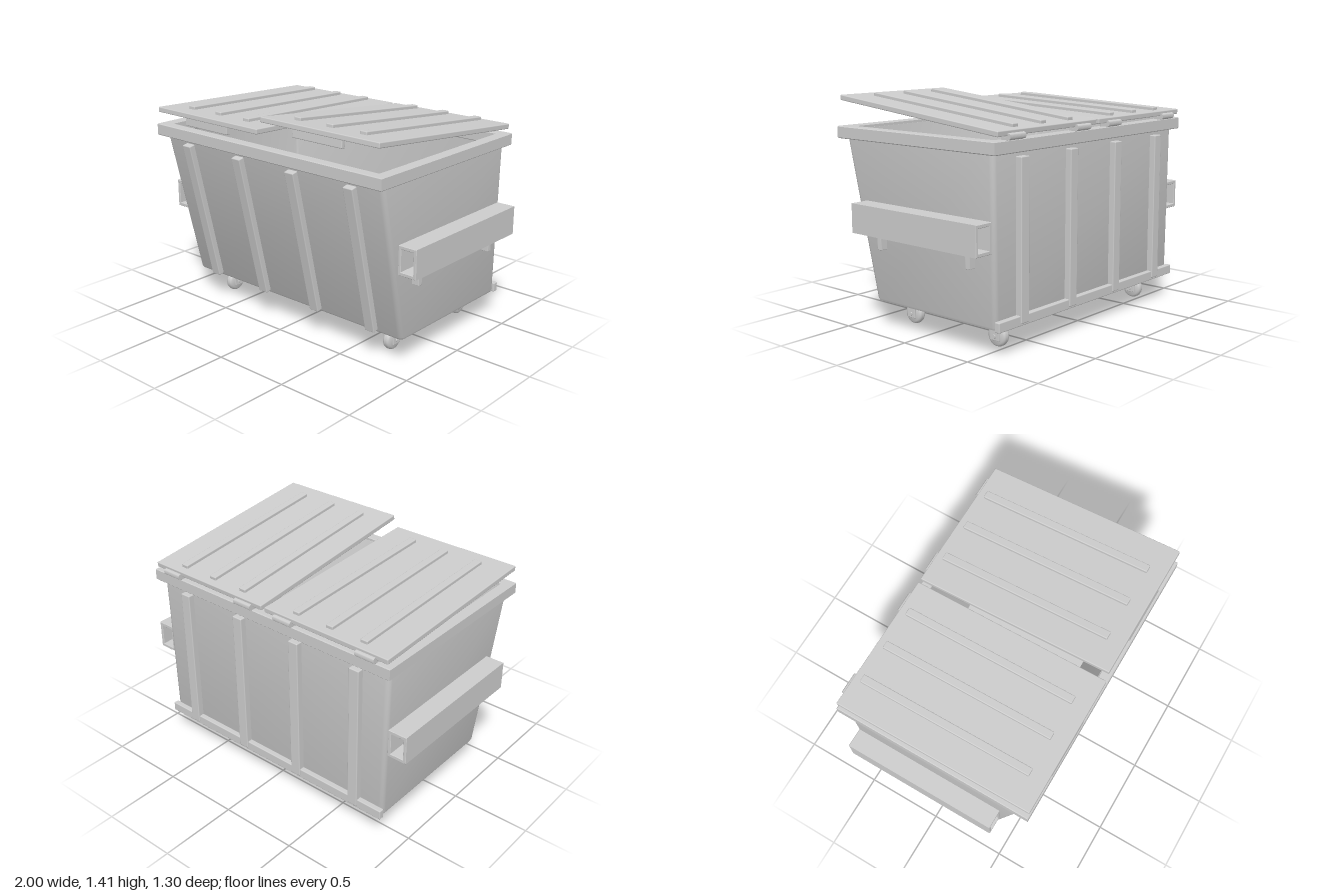
import * as THREE from 'three';
import { toCreasedNormals } from 'three/addons/utils/BufferGeometryUtils.js';
import { RoundedBoxGeometry } from 'three/addons/geometries/RoundedBoxGeometry.js';

const steel = new THREE.MeshStandardMaterial({ color: 0xcccccc });
steel.name = 'grey steel';

function add(parent, name, geometry, x = 0, y = 0, z = 0) {
  const mesh = new THREE.Mesh(geometry, steel);
  mesh.name = name;
  mesh.position.set(x, y, z);
  parent.add(mesh);
  return mesh;
}

const softBox = (w, h, d, r = 0.006) => new RoundedBoxGeometry(w, h, d, 2, r);

// Cylinder lying along x
const barrel = (r, length, sides = 24) =>
  toCreasedNormals(new THREE.CylinderGeometry(r, r, length, sides).rotateZ(Math.PI / 2), 0.6);

// Rounded rectangle ring at height y; half width hx, from z = back to z = front
function ring(y, hx, back, front, r) {
  const points = [];
  const corners = [[1, front], [-1, front], [-1, back], [1, back]];
  corners.forEach(([sx, z], c) => {
    const cx = sx * (hx - r);
    const cz = z + (c < 2 ? -r : r);
    for (let i = 0; i <= 4; i++) {
      const a = (c + i / 4) * Math.PI / 2;
      points.push(new THREE.Vector3(cx + r * Math.cos(a), y, cz + r * Math.sin(a)));
    }
  });
  return points;
}

// Skin between successive rings, closed at both ends by a central point
function loft(rings) {
  const centre = (points) => {
    const box = new THREE.Box3().setFromPoints(points);
    return points.map(() => box.getCenter(new THREE.Vector3()));
  };
  const all = [centre(rings[0]), ...rings, centre(rings[rings.length - 1])];
  const n = rings[0].length;
  const vertices = [];
  for (let i = 0; i < all.length - 1; i++) {
    for (let j = 0; j < n; j++) {
      const k = (j + 1) % n;
      const [a, b, c, d] = [all[i][j], all[i + 1][j], all[i][k], all[i + 1][k]];
      if (i > 0) vertices.push(a, b, c);
      if (i < all.length - 2) vertices.push(b, d, c);
    }
  }
  return toCreasedNormals(new THREE.BufferGeometry().setFromPoints(vertices), 0.7);
}

// Rectangular frame in the xy plane, extruded along z
function frame(w, h, holeW, holeH, depth, bevel) {
  const rect = (shape, a, b) => shape.moveTo(-a, -b).lineTo(a, -b).lineTo(a, b).lineTo(-a, b).closePath();
  const shape = rect(new THREE.Shape(), w / 2 - bevel, h / 2 - bevel);
  shape.holes.push(rect(new THREE.Path(), holeW / 2 + bevel, holeH / 2 + bevel));
  const g = new THREE.ExtrudeGeometry(shape, {
    depth: depth - 2 * bevel, bevelEnabled: true, bevelThickness: bevel, bevelSize: bevel, bevelSegments: 1,
  });
  return g.translate(0, 0, bevel - depth / 2);
}

function makeCaster() {
  const caster = new THREE.Group();
  caster.name = 'caster';
  add(caster, 'mountingPlate', softBox(0.14, 0.014, 0.14, 0.003), 0, 0.153, 0);
  add(caster, 'swivel', new THREE.CylinderGeometry(0.035, 0.035, 0.016, 24), 0, 0.141, 0);
  add(caster, 'forkTop', softBox(0.078, 0.012, 0.066, 0.003), 0, 0.132, 0);
  for (const s of [-1, 1]) add(caster, 'forkArm', softBox(0.01, 0.09, 0.066, 0.003), s * 0.034, 0.091, 0);
  const tyre = [[0, -0.024], [0.052, -0.024], [0.062, -0.018], [0.066, -0.008],
    [0.066, 0.008], [0.062, 0.018], [0.052, 0.024], [0, 0.024]].map(([x, y]) => new THREE.Vector2(x, y));
  const wheel = new THREE.LatheGeometry(tyre, 32).rotateZ(Math.PI / 2);
  add(caster, 'wheel', toCreasedNormals(wheel, 0.7), 0, 0.07, 0);
  add(caster, 'axle', barrel(0.012, 0.094, 16), 0, 0.07, 0);
  return caster;
}

// Lid panel pivoting at its back edge
function makeLid(name, left, right, ribs, gripX, angle) {
  const lid = new THREE.Group();
  lid.name = name;
  lid.position.set(0, 1.259, -0.63);
  lid.rotation.x = -angle;
  add(lid, 'lidPanel', softBox(right - left, 0.033, 1.28), (left + right) / 2, 0, 0.64);
  for (const x of ribs) add(lid, 'lidRib', softBox(0.05, 0.03, 1.125), x, 0.022, 0.612);
  add(lid, 'lidGrip', softBox(0.37, 0.055, 0.03), gripX, -0.036, 1.262);
  return lid;
}

export function createModel() {
  const model = new THREE.Group();
  model.name = 'wasteContainer';

  // Hollow body: up the outside, over the top, down the inside
  add(model, 'body', loft([
    ring(0.163, 0.85, -0.57, 0.36, 0.02),
    ring(0.168, 0.862, -0.584, 0.373, 0.026),
    ring(0.182, 0.868, -0.59, 0.384, 0.03),
    ring(1.2, 0.886, -0.59, 0.611, 0.03),
    ring(1.2, 0.852, -0.572, 0.58, 0.02),
    ring(0.2, 0.838, -0.56, 0.345, 0.02),
  ]));

  // Rim collar
  const rim = frame(1.83, 1.28, 1.69, 1.146, 0.075, 0.005).rotateX(-Math.PI / 2);
  add(model, 'rim', rim, 0, 1.183, 0.01);

  // Stiffening ribs, sloped on the front and upright on the back
  for (const x of [-0.67, -0.225, 0.217, 0.66]) {
    const rib = add(model, 'frontRib', softBox(0.07, 0.955, 0.05), x, 0.648, 0.501);
    rib.rotation.x = 0.221;
    add(model, 'backRib', softBox(0.07, 0.945, 0.05), x, 0.648, -0.605);
  }
  add(model, 'backBottomBar', softBox(1.75, 0.06, 0.036), 0, 0.192, -0.605);

  // Fork pockets with brackets on both sides
  for (const s of [-1, 1]) {
    add(model, 'forkPocket', frame(0.126, 0.18, 0.086, 0.136, 1.01, 0.003), s * 0.937, 0.69, -0.065);
    for (const z of [0.288, -0.43]) add(model, 'pocketBracket', softBox(0.06, 0.11, 0.032, 0.003), s * 0.892, 0.557, z);
  }

  // Casters
  for (const x of [-0.685, 0.685]) {
    for (const z of [0.235, -0.45]) {
      const caster = makeCaster();
      caster.position.set(x, 0.004, z);
      model.add(caster);
    }
  }

  // Lids, the left one propped higher
  model.add(makeLid('rightLid', -0.9, -0.015, [-0.7, -0.458, -0.214], -0.457, 0.043));
  model.add(makeLid('leftLid', 0.01, 0.892, [0.205, 0.45, 0.693], 0.45, 0.104));

  // Hinges
  for (const x of [-0.755, -0.16, 0.15, 0.745]) {
    add(model, 'hingeBarrel', barrel(0.019, 0.13), x, 1.24, -0.632);
    add(model, 'hingeLeaf', softBox(0.13, 0.02, 0.05, 0.003), x, 1.228, -0.605);
  }
  return model;
}
